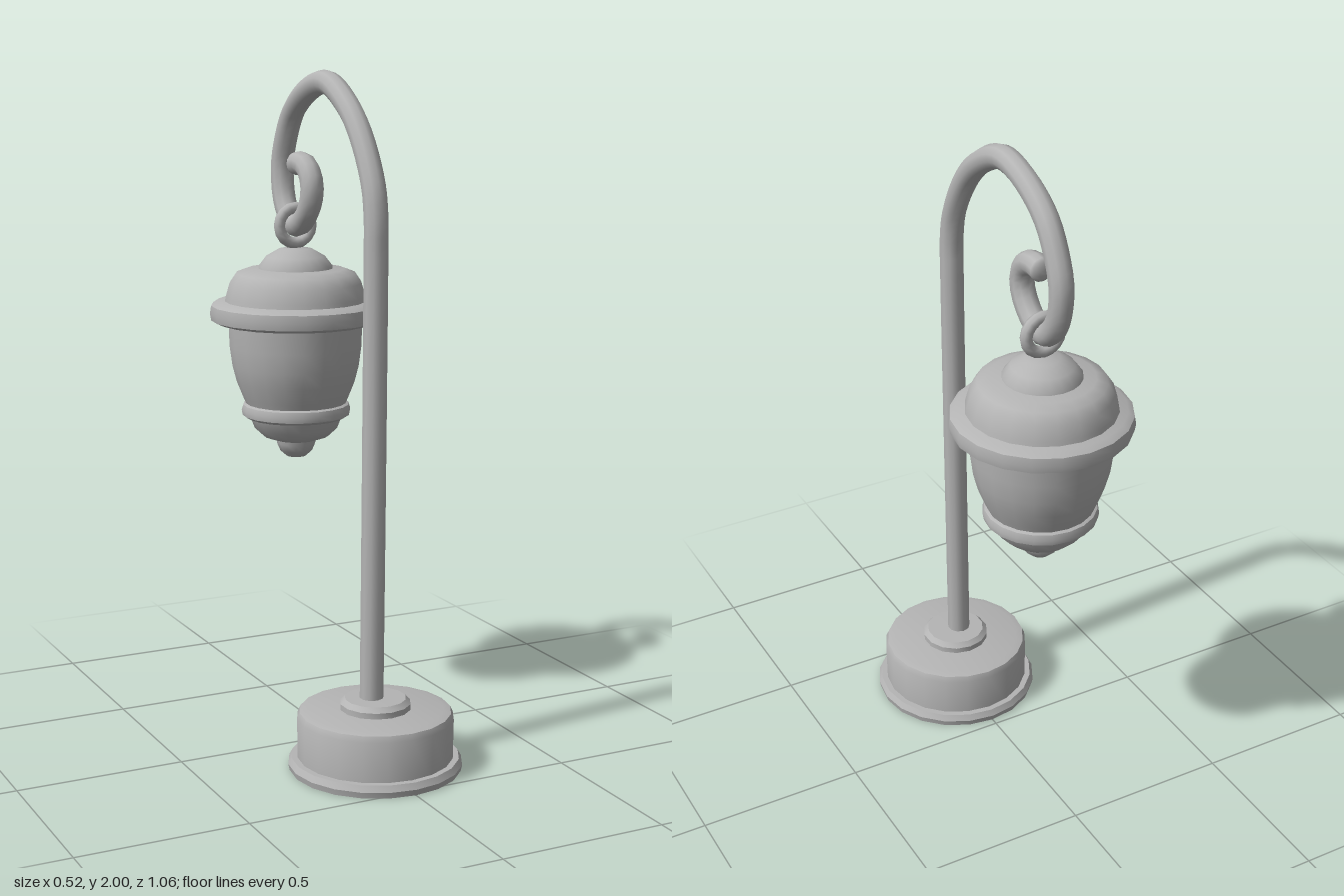
import * as THREE from 'three';
import { toCreasedNormals } from 'three/addons/utils/BufferGeometryUtils.js';

export function createModel() {
  const model = new THREE.Group();
  model.name = 'lanternPost';
  const metal = new THREE.MeshStandardMaterial({ color: 0xb4b4b4 });
  metal.name = 'greyMetal';

  const add = (name, geometry, parent, x = 0, y = 0, z = 0) => {
    const mesh = new THREE.Mesh(geometry, metal);
    mesh.name = name;
    mesh.position.set(x, y, z);
    parent.add(mesh);
    return mesh;
  };
  // Turned part: [radius, height] pairs from bottom to top
  const turned = (name, profile, parent, sides = 20) => {
    const points = profile.map(([r, y]) => new THREE.Vector2(r, y));
    return add(name, toCreasedNormals(new THREE.LatheGeometry(points, sides), 0.7), parent);
  };

  // Round stepped base
  const base = new THREE.Group();
  base.name = 'base';
  base.position.z = 0.275;
  model.add(base);
  turned('baseFlange', [[0, 0], [0.252, 0], [0.256, 0.018], [0.246, 0.036], [0, 0.04]], base);
  turned('baseDrum', [[0, 0.02], [0.228, 0.02], [0.23, 0.155], [0.222, 0.172], [0.2, 0.178], [0, 0.18]], base);
  turned('poleCollar', [[0, 0.17], [0.104, 0.17], [0.104, 0.196], [0.09, 0.21], [0, 0.212]], base, 14);

  // Pole, arch and hooked curl as one bent pipe
  const path = [
    [0.273, 0.18], [0.273, 0.6], [0.272, 1.1], [0.27, 1.5], [0.268, 1.6], [0.25, 1.69],
    [0.18, 1.815], [0.095, 1.9], [-0.04, 1.966], [-0.165, 1.943], [-0.275, 1.875],
    [-0.333, 1.785], [-0.356, 1.71], [-0.345, 1.62], [-0.305, 1.558], [-0.26, 1.536],
    [-0.205, 1.555], [-0.155, 1.61], [-0.145, 1.66], [-0.165, 1.702], [-0.205, 1.724], [-0.25, 1.722],
  ].map(([z, y]) => new THREE.Vector3(-0.013 * Math.max(0, 1 - y / 1.7), y, z));
  const pipe = new THREE.CatmullRomCurve3(path, false, 'centripetal');
  add('poleAndHook', new THREE.TubeGeometry(pipe, 100, 0.035, 10), model);
  const tip = add('hookTip', new THREE.SphereGeometry(0.035, 10, 8), model, 0, 1.722, -0.25);
  tip.scale.z = 0.4;

  // Hanging lantern
  const lantern = new THREE.Group();
  lantern.name = 'lantern';
  lantern.position.z = -0.264;
  model.add(lantern);
  add('hangingRing', new THREE.TorusGeometry(0.053, 0.018, 8, 16), lantern, 0, 1.535, 0);
  turned('capKnob', [[0, 1.38], [0.115, 1.38], [0.113, 1.412], [0.09, 1.442], [0.05, 1.465], [0, 1.468]], lantern);
  turned('capDome', [[0, 1.28], [0.22, 1.28], [0.214, 1.32], [0.202, 1.362], [0.182, 1.392], [0.15, 1.404], [0, 1.412]], lantern);
  turned('capRim', [[0, 1.24], [0.235, 1.24], [0.258, 1.25], [0.262, 1.272], [0.258, 1.295], [0.24, 1.307], [0, 1.31]], lantern);
  turned('lampBody', [[0, 0.97], [0.145, 0.97], [0.162, 1.01], [0.182, 1.06], [0.195, 1.11], [0.203, 1.17], [0.206, 1.25], [0, 1.25]], lantern);
  turned('lowerBand', [[0, 0.947], [0.15, 0.947], [0.165, 0.956], [0.168, 0.972], [0.163, 0.988], [0.148, 0.996], [0, 0.996]], lantern);
  turned('lowerBowl', [[0, 0.872], [0.06, 0.875], [0.1, 0.888], [0.128, 0.914], [0.143, 0.952], [0, 0.96]], lantern);
  turned('bottomFinial', [[0, 0.82], [0.03, 0.824], [0.05, 0.842], [0.06, 0.865], [0.064, 0.89], [0, 0.89]], lantern, 14);

  return model;
}
